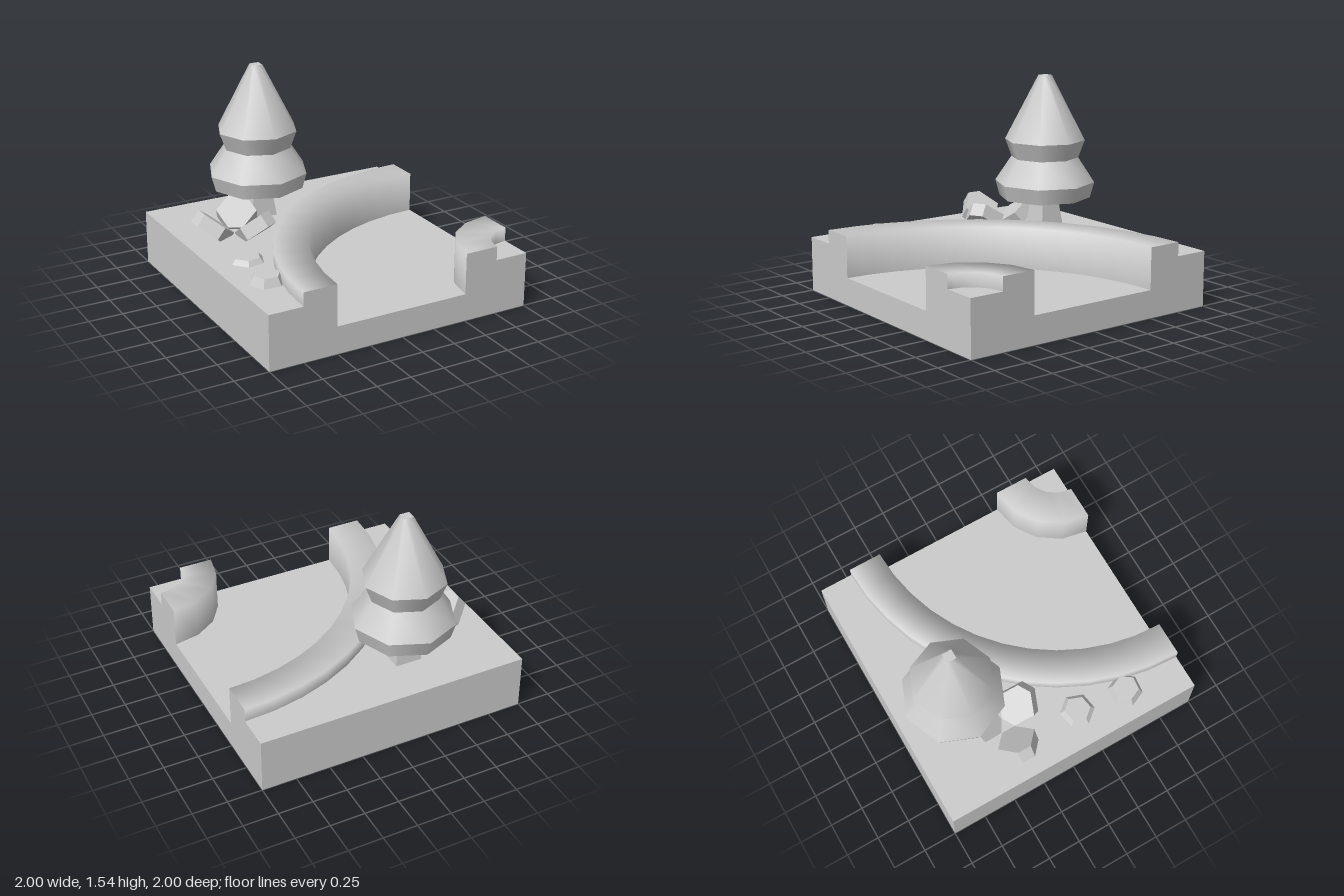
import * as THREE from 'three';

const smooth = new THREE.MeshStandardMaterial({ color: 0xcccccc });
const flat = new THREE.MeshStandardMaterial({ color: 0xcccccc, flatShading: true });

function add(parent, name, geometry, material, x = 0, y = 0, z = 0) {
  const mesh = new THREE.Mesh(geometry, material);
  mesh.name = name;
  mesh.position.set(x, y, z);
  parent.add(mesh);
  return mesh;
}

// Quarter arc about the corner (1, 1), from the right edge to the front edge, as [x, z]
function arc(radius, segments) {
  return Array.from({ length: segments + 1 }, (_, i) => {
    const a = (i / segments) * Math.PI / 2;
    return [1 - radius * Math.sin(a), 1 - radius * Math.cos(a)];
  });
}

// Flat slab with an [x, z] outline, raised from y0 to y1
function slab(outline, y0, y1) {
  const shape = new THREE.Shape(outline.map(([x, z]) => new THREE.Vector2(x, -z)));
  return new THREE.ExtrudeGeometry(shape, { depth: y1 - y0, bevelEnabled: false })
    .rotateX(-Math.PI / 2).translate(0, y0, 0);
}

// Curved kerb: a swept wall with softly shaded edges, and a flat cap at both ends
function kerb(parent, name, profile, segments) {
  const points = profile.map(([r, y]) => new THREE.Vector2(r, y));
  add(parent, name, new THREE.LatheGeometry(points, segments, Math.PI, Math.PI / 2), smooth, 1, 0, 1);
  const mid = 1 - (profile[0][0] + profile[2][0]) / 2;
  add(parent, name + 'FrontEnd', new THREE.PlaneGeometry(0.25, 0.3), flat, mid, 0.35, 1);
  add(parent, name + 'SideEnd', new THREE.PlaneGeometry(0.25, 0.3), flat, 1, 0.35, mid).rotation.y = Math.PI / 2;
}

function makeTree() {
  const tree = new THREE.Group();
  tree.name = 'tree';
  // Square tapered trunk
  const trunk = new THREE.CylinderGeometry(0.07 * Math.SQRT2, 0.1 * Math.SQRT2, 0.23, 4).rotateY(Math.PI / 4);
  add(tree, 'trunk', trunk, flat, 0, 0.515, 0);
  // Eight-sided foliage bands with sharp edges between them
  const rings = [[0.34, 0.63], [0.372, 0.745], [0.25, 0.93], [0.298, 1.06], [0.035, 1.54]];
  for (let i = 0; i < rings.length - 1; i++) {
    const [r0, y0] = rings[i], [r1, y1] = rings[i + 1];
    const band = new THREE.LatheGeometry([new THREE.Vector2(r0, y0), new THREE.Vector2(r1, y1)], 8);
    // The tip narrows to a small square
    const p = band.attributes.position;
    for (let k = 0; k < p.count; k++) {
      if (p.getY(k) < 1.5) continue;
      if (Math.min(Math.abs(p.getX(k)), Math.abs(p.getZ(k))) > 0.01) {
        p.setX(k, Math.sign(p.getX(k)) * 0.035);
        p.setZ(k, Math.sign(p.getZ(k)) * 0.035);
      }
    }
    add(tree, 'foliageBand', band, smooth);
  }
  add(tree, 'foliageUnderside', new THREE.CircleGeometry(0.34, 8).rotateX(Math.PI / 2), flat, 0, 0.63, 0);
  add(tree, 'treeTip', new THREE.PlaneGeometry(0.07, 0.07).rotateX(-Math.PI / 2), flat, 0, 1.54, 0);
  tree.position.set(-0.275, 0, -0.58);
  return tree;
}

// Three thick hexagonal rocks leaning in on each other
function makeRockCluster() {
  const cluster = new THREE.Group();
  cluster.name = 'rockCluster';
  const geometry = new THREE.CylinderGeometry(0.147, 0.147, 0.1, 6);
  const p = geometry.attributes.position;
  for (let k = 0; k < p.count; k++) {
    if (Math.abs(p.getX(k)) > 0.05) p.setZ(k, p.getZ(k) * 0.7);
    p.setX(k, p.getX(k) * 1.13);
  }
  for (let i = 0; i < 3; i++) {
    const spoke = new THREE.Group();
    spoke.name = 'leaningRock';
    spoke.rotation.y = Math.PI + i * Math.PI * 2 / 3;
    add(spoke, 'rock', geometry, flat, 0.175, 0.468, 0).rotation.z = 0.68;
    cluster.add(spoke);
  }
  cluster.position.set(-0.586, 0, -0.335);
  return cluster;
}

export function createModel() {
  const model = new THREE.Group();
  model.name = 'cornerTile';

  // Ground: base with the sunken channel floor, and raised land on both sides
  add(model, 'base', new THREE.BoxGeometry(2, 0.2, 2), flat, 0, 0.1, 0);
  add(model, 'outerLand', slab([...arc(1.75, 12), [-1, 1], [-1, -1], [1, -1]], 0.2, 0.4), flat);
  add(model, 'innerLand', slab([...arc(0.25, 4), [1, 1]], 0.2, 0.4), flat);

  kerb(model, 'outerKerb', [[1.75, 0.4], [1.75, 0.5], [1.5, 0.5], [1.5, 0.2]], 12);
  kerb(model, 'innerKerb', [[0.5, 0.2], [0.5, 0.5], [0.25, 0.5], [0.25, 0.4]], 4);

  model.add(makeTree(), makeRockCluster());

  // Small flat stones
  for (const [x, z, height, turn] of [[-0.738, 0.168, 0.035, 2.79], [-0.78, 0.545, 0.06, 0.42]]) {
    const stone = new THREE.CylinderGeometry(0.095, 0.127, height, 6);
    add(model, 'stone', stone, flat, x, 0.4 + height / 2, z).rotation.y = turn;
  }
  return model;
}
